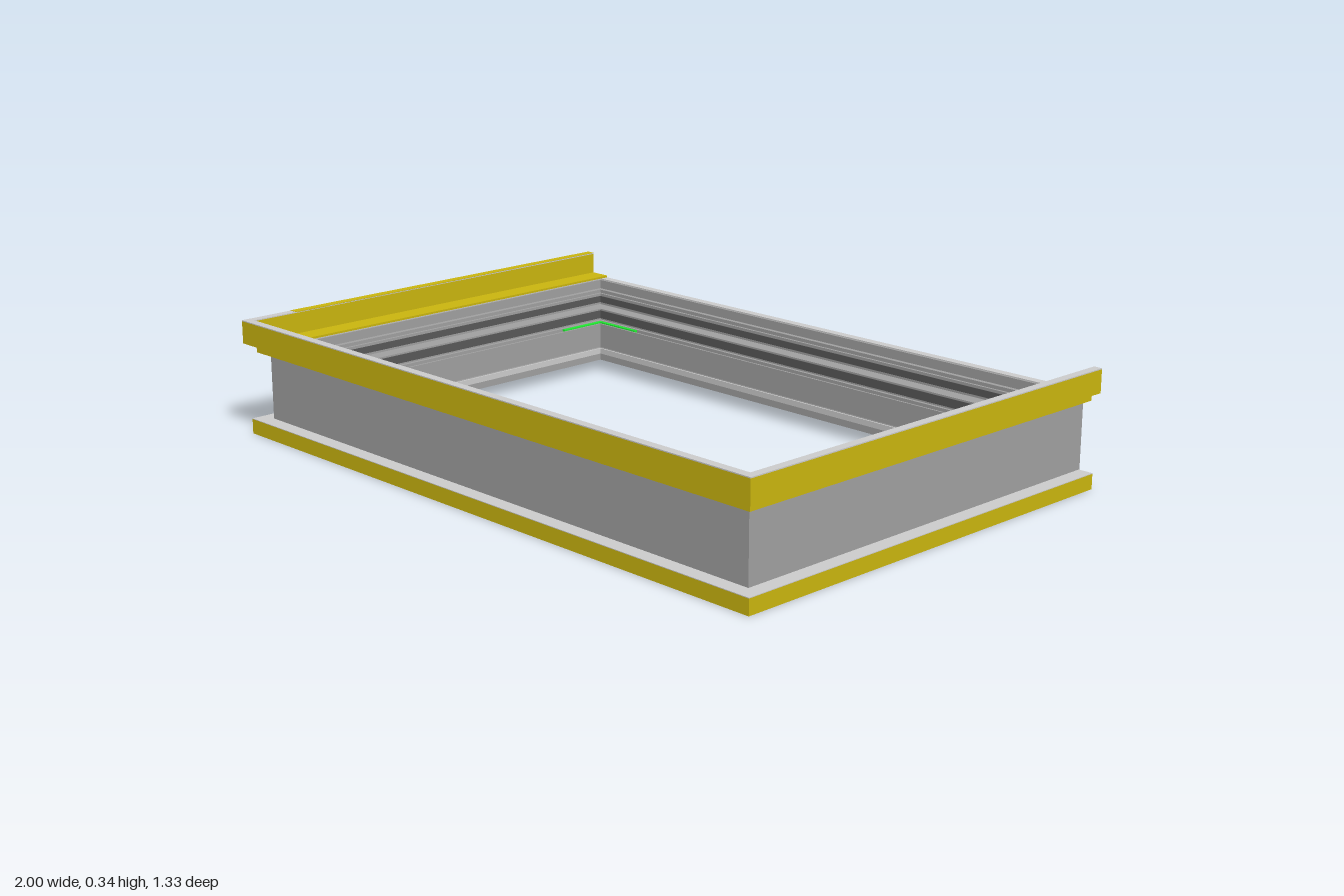
import * as THREE from 'three';

const paint = (color) => new THREE.MeshStandardMaterial({ color });
const lightGrey = paint(0xcccccc);
const midGrey = paint(0xa0a0a0);
const darkGrey = paint(0x585858);
const yellow = paint(0xcab50f);
const green = paint(0x22ee33);

// Outer faces of the frame wall
const X = 0.945, FRONT = 0.612, BACK = -0.665, BACK_INSET = 0.93;

// Mitred sweep round the frame. Profile points are (inset, height), counter-clockwise.
// A closed sweep runs round all four sides; an open one leaves out the back.
function sweep(name, profile, material, closed = false) {
  const ring = ([sx, back]) => profile.map(([d, y]) => new THREE.Vector3(
    sx * (X - d), y, back ? BACK + (closed ? d * BACK_INSET : 0.003) : FRONT - d));
  const rings = [[-1, true], [-1, false], [1, false], [1, true]].map(ring);
  const pos = [];
  const tri = (...pts) => pts.forEach((p) => pos.push(p.x, p.y, p.z));
  const n = profile.length;
  for (let s = 0; s < (closed ? 4 : 3); s++) {
    const r0 = rings[s], r1 = rings[(s + 1) % 4];
    for (let i = 0; i < n; i++) {
      const j = (i + 1) % n;
      tri(r0[i], r0[j], r1[j]);
      tri(r0[i], r1[j], r1[i]);
    }
  }
  if (!closed) {
    const outline = profile.map(([d, y]) => new THREE.Vector2(d, y));
    for (const [a, b, c] of THREE.ShapeUtils.triangulateShape(outline, [])) {
      tri(rings[0][a], rings[0][c], rings[0][b]);
      tri(rings[3][a], rings[3][b], rings[3][c]);
    }
  }
  const geo = new THREE.BufferGeometry();
  geo.setAttribute('position', new THREE.Float32BufferAttribute(pos, 3));
  geo.computeVertexNormals();
  const mesh = new THREE.Mesh(geo, material);
  mesh.name = name;
  return mesh;
}

const bar = (d0, y0, d1, y1) => [[d0, y0], [d1, y0], [d1, y1], [d0, y1]];

function box(name, x0, x1, y0, y1, z0, z1, material) {
  const mesh = new THREE.Mesh(new THREE.BoxGeometry(Math.abs(x1 - x0), y1 - y0, Math.abs(z1 - z0)), material);
  mesh.position.set((x0 + x1) / 2, (y0 + y1) / 2, (z0 + z1) / 2);
  mesh.name = name;
  return mesh;
}

export function createModel() {
  const model = new THREE.Group();
  model.name = 'rectangularFrame';

  // Main frame: plain outer wall, stepped inside, gasket groove and inner lip
  model.add(sweep('mainFrame', [
    [0, 0.045], [0.1, 0.045], [0.12, 0.035], [0.14, 0.035], [0.14, 0.055],
    [0.134, 0.075], [0.134, 0.15], [0.128, 0.15], [0.128, 0.125], [0.115, 0.125],
    [0.115, 0.155], [0.105, 0.155], [0.105, 0.19], [0.058, 0.19], [0.058, 0.225],
    [0.05, 0.225], [0.05, 0.235], [0.035, 0.235], [0.035, 0.262], [0, 0.262],
  ], midGrey, true));
  model.add(sweep('frameTopEdge', bar(0, 0.262, 0.028, 0.265), lightGrey, true));
  model.add(sweep('lipBead', bar(0.13, 0.055, 0.14, 0.072), lightGrey, true));

  // Dark seals on the inner steps and in the groove
  model.add(sweep('upperSeal', bar(0.055, 0.197, 0.06, 0.217), darkGrey, true));
  model.add(sweep('middleSeal', bar(0.1, 0.16, 0.107, 0.185), darkGrey, true));
  model.add(sweep('grooveSeal', bar(0.117, 0.12, 0.127, 0.14), darkGrey, true));

  // Top trim on three sides: upright rim, ledge and step below
  model.add(sweep('topTrim', [
    [-0.055, 0.268], [-0.028, 0.268], [-0.028, 0.242], [0, 0.242], [0, 0.266],
    [0.035, 0.266], [0.035, 0.272], [-0.03, 0.272], [-0.03, 0.333], [-0.055, 0.333],
  ], yellow));
  model.add(sweep('topTrimCap', bar(-0.055, 0.333, -0.03, 0.336), lightGrey));
  model.add(sweep('topTrimSoffit', bar(-0.048, 0.2665, -0.028, 0.268), midGrey));
  model.add(box('rightRimCover', -1, -0.975, 0.334, 0.337, -0.662, 0.5, yellow));

  // Bottom trim on three sides: a channel open downwards
  model.add(sweep('bottomTrim', [
    [-0.044, 0], [-0.03, 0], [-0.03, 0.035], [-0.012, 0.035], [-0.012, 0],
    [0, 0], [0, 0.043], [-0.044, 0.043],
  ], yellow));
  model.add(sweep('bottomTrimCap', bar(-0.044, 0.043, 0, 0.045), lightGrey));
  model.add(sweep('bottomTrimGroove', bar(-0.03, 0.03, -0.012, 0.035), darkGrey));

  // Corner brackets lying in the gasket groove
  for (const sx of [-1, 1]) {
    for (const [zWall, inward, k] of [[FRONT, -1, 1], [BACK, 1, BACK_INSET]]) {
      const bracket = new THREE.Group();
      bracket.name = 'cornerBracket';
      const zo = zWall + inward * 0.116 * k, zi = zWall + inward * 0.1275 * k;
      const xo = sx * (X - 0.116), xi = sx * (X - 0.1275);
      bracket.add(box('bracketLongArm', xo, sx * 0.66, 0.125, 0.154, zo, zi, green));
      bracket.add(box('bracketSideArm', xo, xi, 0.125, 0.154, zi, zo + inward * 0.16, green));
      model.add(bracket);
    }
  }
  return model;
}
